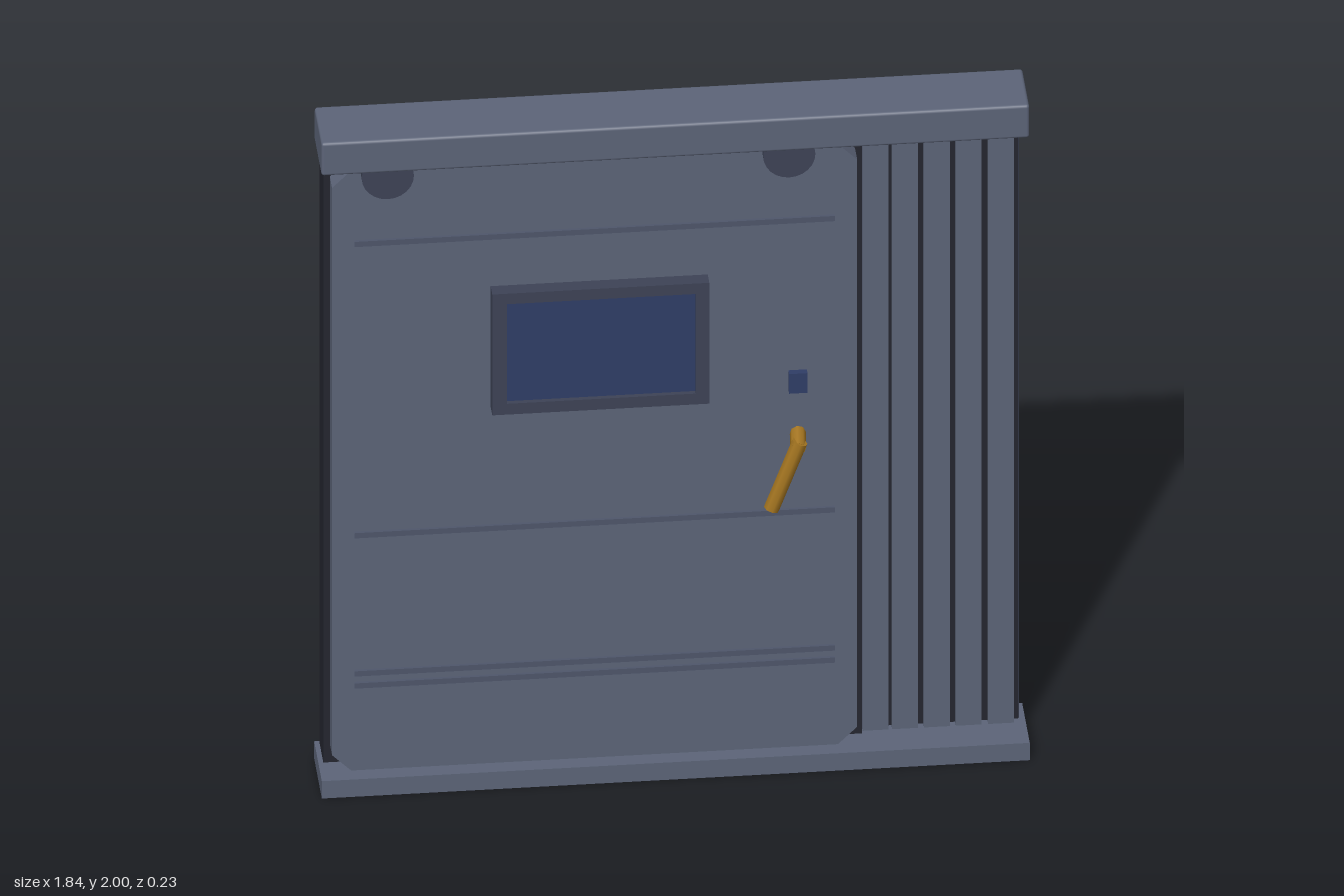
import * as THREE from 'three';
import { RoundedBoxGeometry } from 'three/addons/geometries/RoundedBoxGeometry.js';

const mat = (name, color) => {
  const m = new THREE.MeshStandardMaterial({ color });
  m.name = name;
  return m;
};

export function createModel() {
  const model = new THREE.Group();
  model.name = 'slidingDoor';
  const slate = mat('slate', 0x5c6478);
  const trim = mat('trim', 0x4e566a);
  const darkSlate = mat('darkSlate', 0x3d4356);
  const wallBlue = mat('wallBlue', 0x3c455a);
  const black = mat('nearBlack', 0x24262f);
  const glass = mat('glassBlue', 0x2f3d66);
  const brass = mat('brass', 0xa47520);

  const add = (name, geometry, material) => {
    const mesh = new THREE.Mesh(geometry, material);
    mesh.name = name;
    model.add(mesh);
    return mesh;
  };
  // Box given by its limits on each axis
  const box = (name, material, x0, x1, y0, y1, z0, z1, bevel = 0) => {
    const size = [x1 - x0, y1 - y0, z1 - z0];
    const geo = bevel ? new RoundedBoxGeometry(...size, 2, bevel) : new THREE.BoxGeometry(...size);
    const mesh = add(name, geo, material);
    mesh.position.set((x0 + x1) / 2, (y0 + y1) / 2, (z0 + z1) / 2);
    return mesh;
  };
  // Outline of a rectangle, optionally with cut corners
  const outline = (P, x0, x1, y0, y1, c = 0) => {
    const pts = c
      ? [[x0 + c, y0], [x1 - c, y0], [x1, y0 + c], [x1, y1 - c], [x1 - c, y1], [x0 + c, y1], [x0, y1 - c], [x0, y0 + c]]
      : [[x0, y0], [x1, y0], [x1, y1], [x0, y1]];
    return new P(pts.map(p => new THREE.Vector2(...p)));
  };
  const extrude = (shape, depth) => new THREE.ExtrudeGeometry(shape, { depth, bevelEnabled: false });

  // Header rail and sill
  box('header', slate, -0.923, 0.92, 1.9, 2, -0.11, 0.073, 0.008);
  box('sill', slate, -0.923, 0.92, 0, 0.053, -0.115, 0.08);

  // Dark panel behind the door, and the fixed wall beside it
  box('backPanel', black, -0.91, 0.492, 0.053, 1.9, -0.105, -0.01);
  box('fixedWall', wallBlue, 0.492, 0.905, 0.053, 1.9, -0.092, -0.045);

  // Vertical slats on the wall
  const edges = [0.495, 0.572, 0.655, 0.738, 0.822];
  edges.forEach((x) => box('wallSlat', slate, x, x + 0.067, 0.053, 1.9, -0.045, -0.022));
  box('grooveLining', black, 0.492, 0.903, 0.053, 1.9, -0.046, -0.042);

  // Door leaf with cut corners
  add('doorLeaf', extrude(outline(THREE.Shape, -0.893, 0.474, 0.06, 1.897, 0.05), 0.057), slate).position.z = -0.01;

  // Raised horizontal trim strips
  for (const y of [1.675, 0.783, 0.36, 0.323]) {
    box('trimStrip', trim, -0.835, 0.415, y - 0.008, y + 0.008, 0.04, 0.055);
  }

  // Half-hidden rollers under the header
  for (const x of [-0.75, 0.295]) {
    const roller = add('roller', new THREE.CylinderGeometry(0.068, 0.068, 0.03, 24), darkSlate);
    roller.rotation.x = Math.PI / 2;
    roller.position.set(x, 1.886, 0.055);
  }

  // Window frame and pane
  const frame = outline(THREE.Shape, -0.48, 0.085, 1.15, 1.52);
  frame.holes.push(outline(THREE.Path, -0.442, 0.05, 1.183, 1.488));
  add('windowFrame', extrude(frame, 0.045), darkSlate).position.z = 0.043;
  box('windowPane', glass, -0.445, 0.053, 1.18, 1.491, 0.045, 0.075);

  // Lock button
  box('lockButton', glass, 0.295, 0.343, 1.153, 1.213, 0.04, 0.066);

  // Handle: spindle and sloping lever
  const rod = (name, a, b, r) => {
    const from = new THREE.Vector3(...a);
    const dir = new THREE.Vector3(...b).sub(from);
    const mesh = add(name, new THREE.CylinderGeometry(r, r, dir.length(), 8), brass);
    mesh.position.copy(from).addScaledVector(dir, 0.5);
    mesh.quaternion.setFromUnitVectors(new THREE.Vector3(0, 1, 0), dir.normalize());
  };
  rod('handleSpindle', [0.32, 1.022, 0.04], [0.315, 1.005, 0.1], 0.021);
  rod('handleLever', [0.32, 1.022, 0.094], [0.246, 0.822, 0.094], 0.021);

  return model;
}
